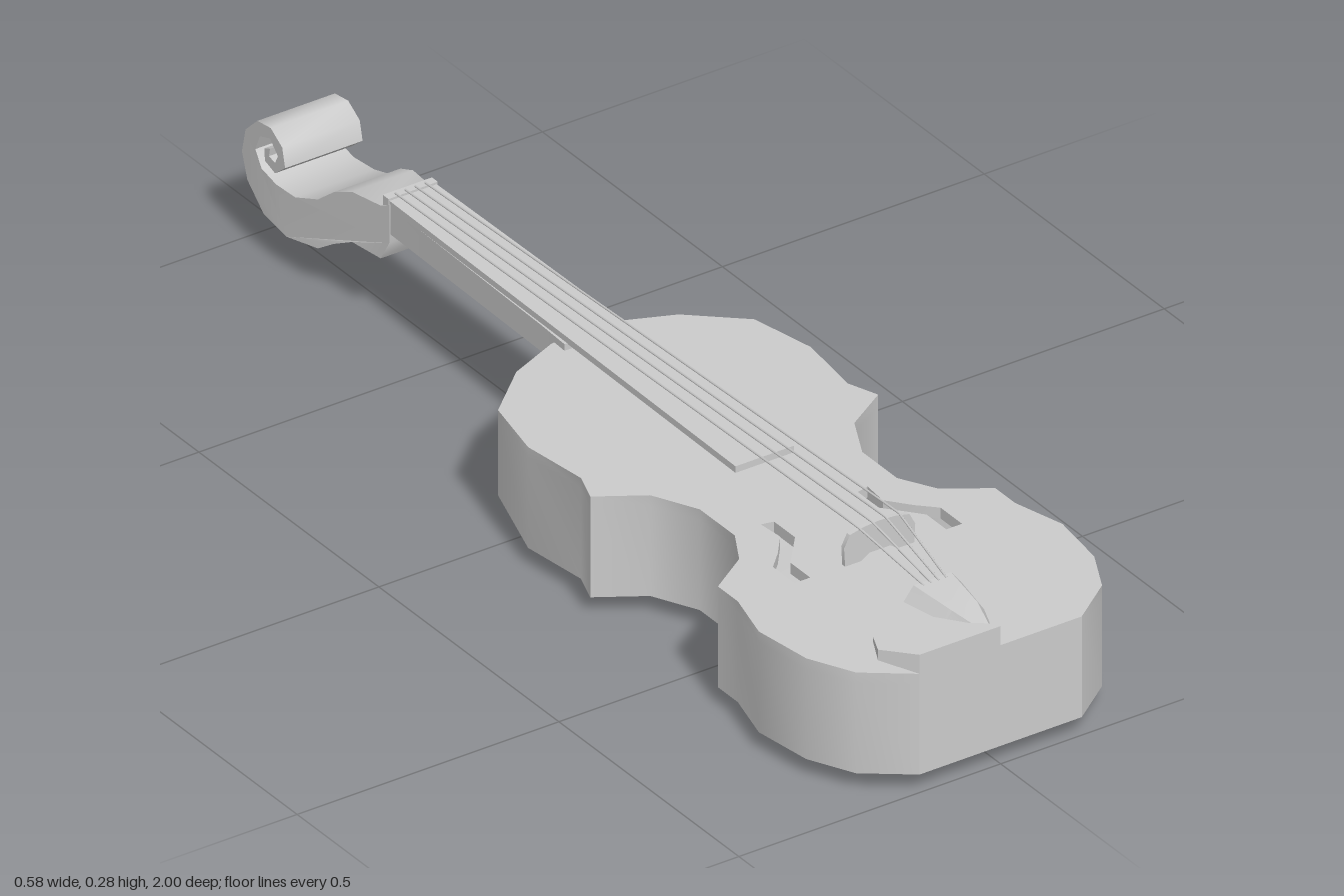
import * as THREE from 'three';
import { mergeGeometries, toCreasedNormals } from 'three/addons/utils/BufferGeometryUtils.js';

const material = new THREE.MeshStandardMaterial({ color: 0xcccccc, side: THREE.DoubleSide });
const V = (x, y, z) => new THREE.Vector3(x, y, z);
const V2 = (list) => list.map(([x, y]) => new THREE.Vector2(x, y));

const TOP = 0.218; // height of the soundboard

// Skin over rings of points, ordered back to front, each counter-clockwise seen from +z
function loft(rings, closed = true) {
  const n = rings[0].length, pos = [];
  const tri = (...p) => p.forEach((v) => pos.push(v.x, v.y, v.z));
  for (let i = 0; i < rings.length - 1; i++) {
    for (let j = 0; j < (closed ? n : n - 1); j++) {
      const k = (j + 1) % n, a = rings[i], b = rings[i + 1];
      tri(a[j], a[k], b[k]);
      tri(a[j], b[k], b[j]);
    }
  }
  const first = rings[0], last = rings[rings.length - 1];
  for (let j = 1; j < n - 1; j++) {
    tri(first[0], first[j + 1], first[j]);
    tri(last[0], last[j], last[j + 1]);
  }
  const g = new THREE.BufferGeometry();
  g.setAttribute('position', new THREE.Float32BufferAttribute(pos, 3));
  return g;
}

// Extrude a plan outline given as [x, z] upwards from y
function plate(outline, y, height, holes = []) {
  const flip = (pts) => V2(pts.map(([x, z]) => [x, -z]));
  const shape = new THREE.Shape(flip(outline));
  holes.forEach((h) => shape.holes.push(new THREE.Path(flip(h))));
  const g = new THREE.ExtrudeGeometry(shape, { depth: height, bevelEnabled: false });
  return g.rotateX(-Math.PI / 2).translate(0, y, 0);
}

function strip(g) {
  const flat = g.index ? g.toNonIndexed() : g;
  flat.deleteAttribute('uv');
  flat.deleteAttribute('normal');
  return flat;
}

export function createModel() {
  const model = new THREE.Group();
  model.name = 'violin';
  const add = (name, geometry, crease = 0.55) => {
    const mesh = new THREE.Mesh(toCreasedNormals(strip(geometry), crease), material);
    mesh.name = name;
    model.add(mesh);
    return mesh;
  };

  // Body: half outline [x, z] from neck to tail
  const half = [
    [0.06, -0.16], [0.155, -0.12], [0.245, -0.04], [0.27, 0.08], [0.255, 0.205],
    [0.275, 0.26], [0.195, 0.31], [0.155, 0.39], [0.155, 0.487], [0.19, 0.55],
    [0.265, 0.6], [0.265, 0.655], [0.29, 0.75], [0.275, 0.86], [0.235, 0.94], [0.155, 1],
  ];
  const plateY = TOP - 0.02;
  const rings = half.map(([x, z], i) => {
    const rim = 0.033 + 0.067 * Math.max(0, (0.05 - z) / 0.21);
    const ridge = i === 0 || z > 0.9
      ? V(0, rim, z)
      : V(0, 0, THREE.MathUtils.clamp(z, 0.08, 0.75));
    return [V(-x, plateY, z), V(-x, rim, z), ridge, V(x, rim, z), V(x, plateY, z)];
  });

  // Soundboard with two sound holes
  const hole = [
    [0.08, 0.487], [0.102, 0.482], [0.098, 0.53], [0.13, 0.57],
    [0.16, 0.6], [0.16, 0.66], [0.13, 0.66], [0.13, 0.605], [0.08, 0.545],
  ];
  const mirror = (pts) => pts.map(([x, z]) => [-x, z]).reverse();
  const soundboard = plate([...half, ...mirror(half)], plateY, 0.02, [hole, mirror(hole)]);
  add('body', mergeGeometries([strip(loft(rings, false)), strip(soundboard)]));

  // Neck with a chamfered underside
  const neckRing = (w, low, z) => [
    V(-w, 0.23, z), V(-w, low + 0.012, z), V(-w * 0.75, low, z),
    V(w * 0.75, low, z), V(w, low + 0.012, z), V(w, 0.23, z),
  ];
  add('neck', loft([
    neckRing(0.044, 0.168, -0.65), neckRing(0.053, 0.17, -0.2), neckRing(0.056, 0.165, -0.13),
  ]));

  // Fingerboard and nut
  add('fingerboard', plate(
    [[-0.045, -0.635], [0.045, -0.635], [0.056, 0.345], [-0.056, 0.345]], 0.229, 0.012));
  add('nut', new THREE.BoxGeometry(0.094, 0.03, 0.016).translate(0, 0.23, -0.64));

  // Pegbox and scroll: side profile [z, y], widened towards the scroll
  const profile = [
    [-0.63, 0.165], [-0.65, 0.128], [-0.717, 0.128], [-0.76, 0.105], [-0.797, 0.08],
    [-0.877, 0.064], [-0.94, 0.075], [-0.985, 0.115], [-1, 0.16], [-0.99, 0.205],
    [-0.957, 0.237], [-0.92, 0.242], [-0.888, 0.222], [-0.88, 0.188], [-0.908, 0.165],
    [-0.936, 0.174], [-0.938, 0.196], [-0.922, 0.203], [-0.925, 0.188], [-0.908, 0.184],
    [-0.9, 0.2], [-0.922, 0.222], [-0.95, 0.212], [-0.963, 0.182], [-0.945, 0.155],
    [-0.905, 0.146], [-0.85, 0.15], [-0.797, 0.17], [-0.76, 0.2], [-0.717, 0.22],
    [-0.65, 0.225], [-0.63, 0.235],
  ];
  const scroll = new THREE.ExtrudeGeometry(
    new THREE.Shape(V2(profile.map(([z, y]) => [-z, y]))), { depth: 2, bevelEnabled: false });
  scroll.translate(0, 0, -1).rotateY(Math.PI / 2);
  const p = scroll.attributes.position;
  for (let i = 0; i < p.count; i++) {
    const z = p.getZ(i);
    const w = z > -0.87
      ? THREE.MathUtils.mapLinear(z, -0.63, -0.87, 0.047, 0.078)
      : 0.074;
    p.setX(i, p.getX(i) * w);
  }
  add('pegboxAndScroll', scroll, 0.8);

  // Bridge
  const bridge = new THREE.Shape(V2([
    [-0.066, TOP], [-0.035, TOP], [-0.02, 0.228], [0.02, 0.228], [0.035, TOP], [0.066, TOP],
    [0.068, 0.252], [0.057, 0.273], [0.03, 0.279], [0, 0.281], [-0.03, 0.279],
    [-0.057, 0.273], [-0.068, 0.252],
  ]));
  add('bridge', new THREE.ExtrudeGeometry(bridge, { depth: 0.008, bevelEnabled: false })
    .translate(0, 0, 0.656));

  // Tailpiece tapering to a point at the tail
  const tailRing = (w, top, z) => [
    V(-w * 0.65, top, z), V(-w, 0.222, z), V(0, TOP, z), V(w, 0.222, z), V(w * 0.65, top, z),
  ];
  add('tailpiece', loft([
    tailRing(0.055, 0.246, 0.81), tailRing(0.037, 0.24, 0.9), tailRing(0.002, 0.224, 0.985),
  ]), 0.3);

  // Chin rest: flat on top, thickening towards the tail
  const rest = plate([
    [-0.2, 0.95], [-0.185, 0.915], [-0.14, 0.902], [-0.075, 0.912],
    [-0.035, 0.965], [0, 0.99], [0, 1], [-0.155, 1],
  ], 0, 0.253);
  const r = rest.attributes.position;
  for (let i = 0; i < r.count; i++) {
    if (r.getY(i) < 0.1) {
      r.setY(i, THREE.MathUtils.mapLinear(r.getZ(i), 0.9, 1, 0.249, TOP));
    }
  }
  add('chinRest', rest);

  // Strings from nut over bridge to tailpiece
  const strings = new THREE.Group();
  strings.name = 'strings';
  for (let s = -1.5; s <= 1.5; s++) {
    const path = new THREE.CurvePath();
    const pts = [V(s * 0.019, 0.246, -0.64), V(s * 0.026, 0.283 - Math.abs(s) * 0.002, 0.66),
      V(s * 0.014, 0.245, 0.82)];
    path.add(new THREE.LineCurve3(pts[0], pts[1]));
    path.add(new THREE.LineCurve3(pts[1], pts[2]));
    const string = new THREE.Mesh(new THREE.TubeGeometry(path, 36, 0.002, 5), material);
    string.name = 'string';
    strings.add(string);
  }
  model.add(strings);

  return model;
}
